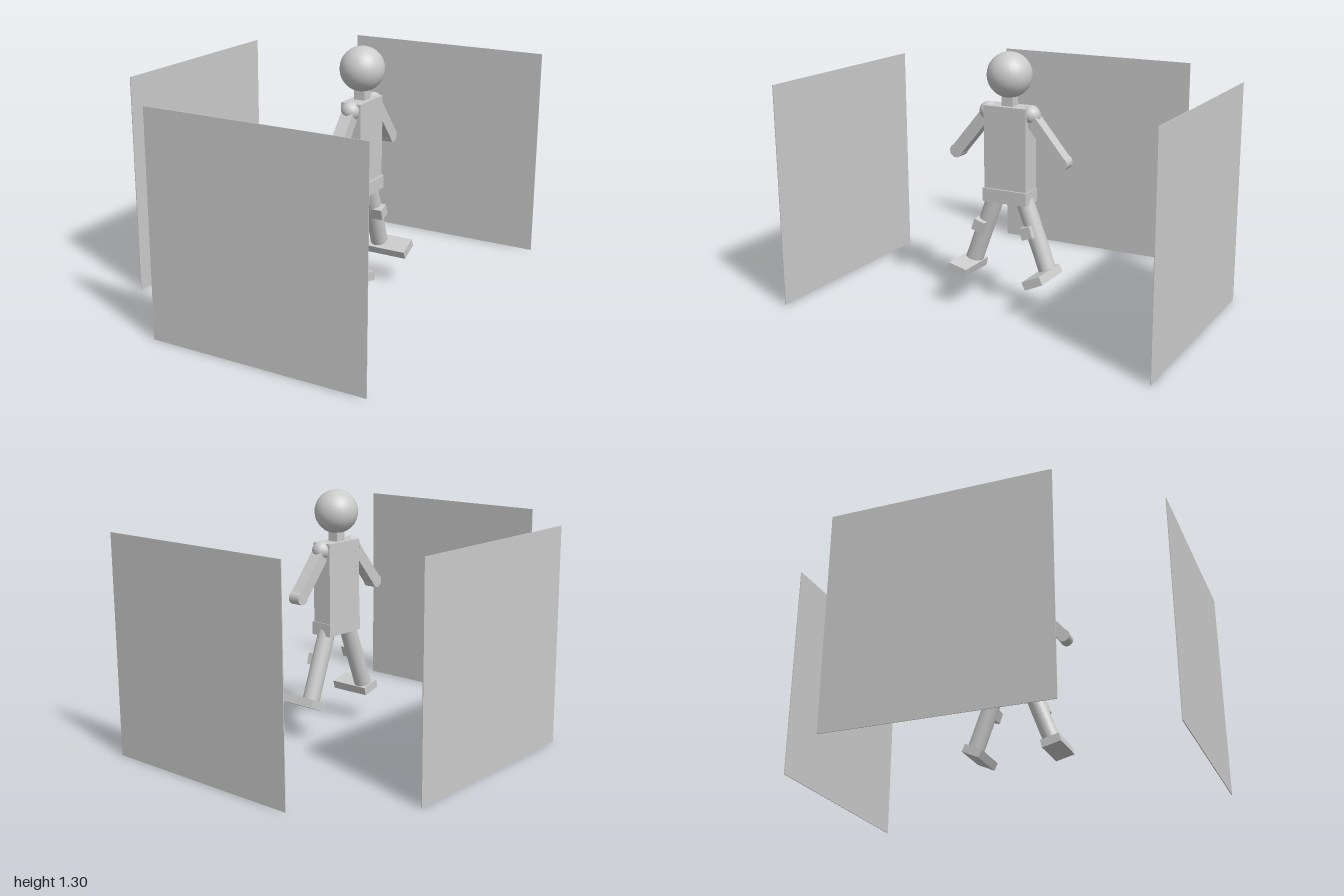
import * as THREE from 'three';

const X = 0.213; // depth line of the figure, which looks toward +x
const rad = THREE.MathUtils.degToRad;

export function createModel() {
  const root = new THREE.Group();
  const figure = new THREE.Group();
  figure.name = 'figure';
  root.add(figure);
  const grey = new THREE.MeshStandardMaterial({ color: 0xcccccc });

  const add = (parent, name, geometry, x, y, z, tilt = 0) => {
    const mesh = new THREE.Mesh(geometry, grey);
    mesh.name = name;
    mesh.position.set(x, y, z);
    mesh.rotation.x = tilt;
    parent.add(mesh);
    return mesh;
  };
  const box = (w, h, d) => new THREE.BoxGeometry(w, h, d);

  // Limb centred between two (y, z) points
  const limb = (name, make, y0, z0, y1, z1) => {
    const length = Math.hypot(y1 - y0, z1 - z0);
    const tilt = -Math.atan2(z1 - z0, y0 - y1);
    add(figure, name, make(length), X, (y0 + y1) / 2, (z0 + z1) / 2, tilt);
  };

  // Three thin square walls
  const size = 1.138, t = 0.004;
  add(root, 'leftWall', box(t, size, size), -0.783, size / 2, 0);
  for (const s of [1, -1]) {
    add(root, s > 0 ? 'frontWall' : 'backWall', box(size, size, t), 0.215, size / 2, s * (1 - t / 2));
  }

  // Head, neck, body and hips
  add(figure, 'head', new THREE.SphereGeometry(0.113, 32, 16), X, 1.183, 0);
  add(figure, 'neck', box(0.06, 0.08, 0.06), X, 1.06, 0);
  add(figure, 'torso', box(0.11, 0.42, 0.234), X, 0.82, 0);
  add(figure, 'hips', box(0.122, 0.068, 0.244), X + 0.004, 0.577, 0);

  for (const s of [1, -1]) {
    const side = s > 0 ? 'near' : 'far';

    // Arm: round shoulder, square arm, round-ended hand
    add(figure, side + 'Shoulder', new THREE.SphereGeometry(0.048, 16, 10), X, 0.993, s * 0.118);
    limb(side + 'Arm', (l) => box(0.065, l, 0.062), 0.985, s * 0.118, 0.774, s * 0.295);
    const hand = new THREE.CylinderGeometry(0.034, 0.034, 0.066, 24).rotateZ(Math.PI / 2);
    add(figure, side + 'Hand', hand, X, 0.774, s * 0.295);

    // Leg: round leg, square knee pad, flat foot
    limb(side + 'Leg', (l) => new THREE.CylinderGeometry(0.045, 0.045, l, 24),
      0.575, s * 0.075, 0.205, s * 0.213);
    add(figure, side + 'KneePad', box(0.075, 0.06, 0.06), X + 0.034, 0.407, s > 0 ? 0.15 : -0.123, -s * rad(18));
    add(figure, side + 'Foot', box(0.225, 0.044, 0.105), 0.273, 0.193, s > 0 ? 0.218 : -0.212, -rad(s > 0 ? 14 : -25));
  }
  return root;
}
